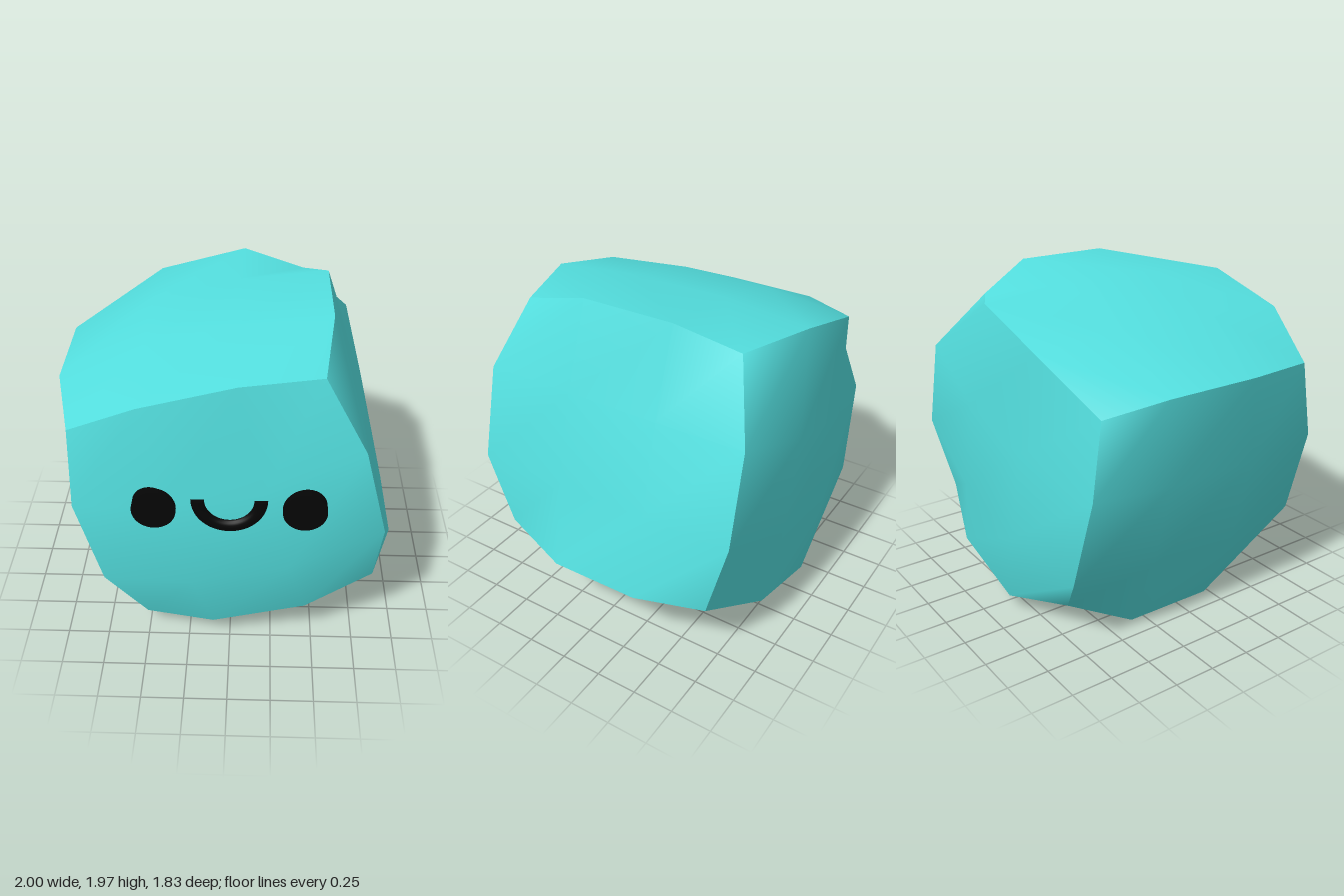
import * as THREE from 'three';

const skin = new THREE.MeshStandardMaterial({ color: 0x54e0e0 });
const ink = new THREE.MeshStandardMaterial({ color: 0x050505 });

// The eight corners: t/b = top/bottom, l/r = -x/+x, f/k = front/back
const c = {
  tlf: [-0.88, 1.49, 0.69], trf: [0.5, 1.84, 0.69], blf: [-0.51, 0.12, 0.67], brf: [0.85, 0.47, 0.67],
  tlk: [-0.83, 1.43, -0.69], trk: [0.42, 1.83, -0.66], blk: [-0.47, 0.16, -0.69], brk: [0.87, 0.435, -0.73],
};

// Each edge is a bent line of four points
const e = {
  frontTop: [c.tlf, [-0.48, 1.72, 0.82], [0.05, 1.86, 0.82], c.trf],
  frontBottom: [c.blf, [-0.1, 0.15, 0.77], [0.45, 0.29, 0.77], c.brf],
  frontLow: [c.blf, [-0.74, 0.49, 0.77], [-0.88, 1.03, 0.77], c.tlf],
  frontHigh: [c.brf, [0.87, 0.92, 0.81], [0.73, 1.46, 0.815], c.trf],
  backTop: [c.tlk, [-0.49, 1.72, -0.86], [0.05, 1.87, -0.855], c.trk],
  backBottom: [c.blk, [-0.1, 0.105, -0.87], [0.45, 0.25, -0.87], c.brk],
  backLow: [c.blk, [-0.76, 0.48, -0.83], [-0.91, 1.03, -0.8], c.tlk],
  backHigh: [c.brk, [0.87, 0.93, -0.865], [0.73, 1.47, -0.86], c.trk],
  topLow: [c.tlf, [-1, 1.53, 0.2], [-1, 1.53, -0.38], c.tlk],
  topHigh: [c.trf, [0.56, 1.97, 0.25], [0.555, 1.97, -0.32], c.trk],
  bottomLow: [c.blf, [-0.62, 0.005, 0.22], [-0.62, 0.01, -0.34], c.blk],
  bottomHigh: [c.brf, [1, 0.43, 0.22], [1, 0.435, -0.33], c.brk],
};
const rev = (edge) => [...edge].reverse();

// Front and rear depth of the inner points on the four sides around z
const near = 0.26, far = -0.32;

// Smooth 3 x 3 patch from its four edges and four inner points (lower pair, then upper pair)
function patch(name, bottom, top, left, right, inner) {
  const rows = [
    bottom,
    [left[1], inner[0], inner[1], right[1]],
    [left[2], inner[2], inner[3], right[2]],
    top,
  ];
  const index = [];
  for (let j = 0; j < 3; j++) {
    for (let i = 0; i < 3; i++) {
      const a = j * 4 + i;
      index.push(a, a + 1, a + 5, a, a + 5, a + 4);
    }
  }
  const geometry = new THREE.BufferGeometry();
  geometry.setAttribute('position', new THREE.Float32BufferAttribute(rows.flat(2), 3));
  geometry.setIndex(index);
  geometry.computeVertexNormals();
  const mesh = new THREE.Mesh(geometry, skin);
  mesh.name = name;
  return mesh;
}

export function createModel() {
  const model = new THREE.Group();
  model.name = 'smilingBlock';

  // Bulging, tilted block with smooth sides and sharp edges
  const body = new THREE.Group();
  body.name = 'body';
  body.add(
    patch('frontSide', e.frontBottom, e.frontTop, e.frontLow, e.frontHigh,
      [[-0.21, 0.58, 0.89], [0.34, 0.71, 0.89], [-0.35, 1.12, 0.89], [0.2, 1.25, 0.89]]),
    patch('backSide', rev(e.backBottom), rev(e.backTop), e.backHigh, e.backLow,
      [[0.31, 0.7, -0.915], [-0.24, 0.57, -0.915], [0.18, 1.26, -0.915], [-0.36, 1.13, -0.915]]),
    patch('leftSide', e.bottomHigh, e.topHigh, e.frontHigh, e.backHigh,
      [[0.87, 0.92, near], [0.87, 0.92, far], [0.73, 1.46, near], [0.73, 1.46, far]]),
    patch('rightSide', rev(e.bottomLow), rev(e.topLow), e.backLow, e.frontLow,
      [[-0.8, 0.45, far], [-0.8, 0.45, near], [-0.94, 1, far], [-0.94, 1, near]]),
    patch('topSide', e.frontTop, e.backTop, e.topLow, e.topHigh,
      [[-0.5, 1.77, near], [0.03, 1.91, near], [-0.5, 1.77, far], [0.03, 1.91, far]]),
    patch('bottomSide', e.backBottom, e.frontBottom, rev(e.bottomLow), rev(e.bottomHigh),
      [[0.03, 0.08, far], [0.56, 0.22, far], [0.03, 0.08, near], [0.56, 0.22, near]]),
  );
  model.add(body);

  // Round disc eyes
  for (const side of [-1, 1]) {
    const eye = new THREE.Mesh(new THREE.CylinderGeometry(0.121, 0.121, 0.1, 40), ink);
    eye.name = side > 0 ? 'leftEye' : 'rightEye';
    eye.rotation.x = Math.PI / 2;
    eye.position.set(side * 0.41 + 0.005, 1.13, 0.865);
    model.add(eye);
  }

  // Flattened half-ring smile with closed ends
  const mouth = new THREE.Group();
  mouth.name = 'mouth';
  const smile = new THREE.Mesh(new THREE.TorusGeometry(0.172, 0.037, 16, 32, Math.PI), ink);
  smile.name = 'smile';
  smile.rotation.z = Math.PI;
  mouth.add(smile);
  for (const side of [-1, 1]) {
    const end = new THREE.Mesh(new THREE.CircleGeometry(0.037, 16), ink);
    end.name = 'smileEnd';
    end.rotation.x = -Math.PI / 2;
    end.position.x = side * 0.172;
    mouth.add(end);
  }
  mouth.position.set(0.005, 1.19, 0.892);
  mouth.scale.z = 0.7;
  model.add(mouth);

  return model;
}
